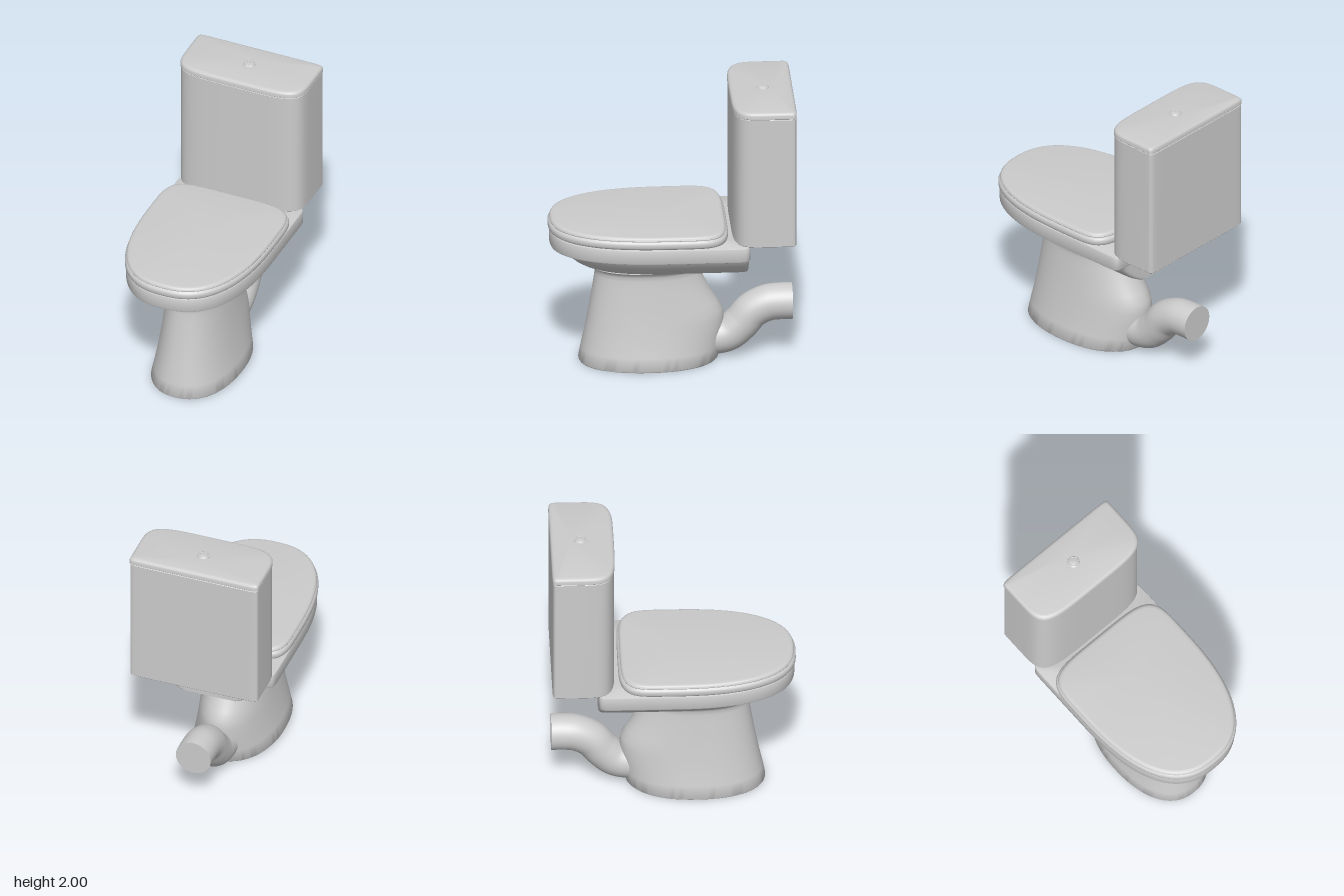
import * as THREE from 'three';
import { toCreasedNormals } from 'three/addons/utils/BufferGeometryUtils.js';

const material = new THREE.MeshStandardMaterial({ color: 0xcccccc });
const SEGMENTS = 96;

// Closed outline from two half superellipses that meet at z = mid.
function outline({ y, w, front, back, mid = 0, nf = 2.5, nb = 2.5 }) {
  const points = [];
  for (let i = 0; i < SEGMENTS; i++) {
    const t = (i / SEGMENTS) * Math.PI * 2;
    const c = Math.cos(t), s = Math.sin(t);
    const e = 2 / (s >= 0 ? nf : nb);
    const depth = s >= 0 ? front - mid : mid - back;
    points.push(
      w * Math.sign(c) * Math.abs(c) ** e, y,
      mid + depth * Math.sign(s) * Math.abs(s) ** e);
  }
  return points;
}

// Skin a stack of outlines from bottom to top and cap both ends.
function loft(rings, crease = 0.6) {
  const positions = rings.flatMap(outline);
  const index = [];
  const n = SEGMENTS, last = rings.length - 1;
  for (let r = 0; r < last; r++) {
    for (let i = 0; i < n; i++) {
      const j = (i + 1) % n, a = r * n, b = a + n;
      index.push(a + i, b + i, a + j, a + j, b + i, b + j);
    }
  }
  const bottom = positions.length / 3, top = bottom + 1;
  positions.push(0, rings[0].y, rings[0].mid ?? 0, 0, rings[last].y, rings[last].mid ?? 0);
  for (let i = 0; i < n; i++) {
    const j = (i + 1) % n;
    index.push(bottom, i, j, top, last * n + j, last * n + i);
  }
  const geometry = new THREE.BufferGeometry();
  geometry.setAttribute('position', new THREE.Float32BufferAttribute(positions, 3));
  geometry.setIndex(index);
  return toCreasedNormals(geometry, crease);
}

// Rings of one base outline, each moved in by an inset: [y, inset].
const insetRings = (base, profile) => profile.map(([y, d]) => ({
  ...base, y, w: base.w - d, front: base.front - d, back: base.back + d,
}));

function add(group, name, geometry) {
  const mesh = new THREE.Mesh(geometry, material);
  mesh.name = name;
  group.add(mesh);
  return mesh;
}

export function createModel() {
  const group = new THREE.Group();
  group.name = 'toilet';

  // Pedestal: waisted column, [y, half width, front z, back z]
  add(group, 'pedestal', loft([
    [0, 0.298, 0.625, -0.32], [0.01, 0.305, 0.631, -0.33], [0.1, 0.286, 0.615, -0.345],
    [0.2, 0.266, 0.593, -0.36], [0.3, 0.25, 0.574, -0.37], [0.36, 0.241, 0.563, -0.36],
    [0.42, 0.232, 0.553, -0.325], [0.5, 0.222, 0.54, -0.275], [0.58, 0.212, 0.528, -0.235],
    [0.64, 0.205, 0.52, -0.21], [0.67, 0.204, 0.518, -0.202], [0.69, 0.212, 0.528, -0.21],
    [0.705, 0.23, 0.55, -0.235],
  ].map(([y, w, front, back]) => ({ y, w, front, back, mid: 0.14, nf: 2.3, nb: 2.1 })), 0.9));

  // Bowl: curved underside that runs back as a shelf under the tank
  add(group, 'bowl', loft([
    [0.7, 0.215, 0.53], [0.715, 0.25, 0.57], [0.735, 0.285, 0.615], [0.765, 0.325, 0.665],
    [0.8, 0.36, 0.705], [0.84, 0.388, 0.738], [0.865, 0.402, 0.757], [0.88, 0.42, 0.775],
  ].map(([y, w, front]) => ({ y, w, front, back: -0.524, nf: 2.4, nb: 20 })), 0.7));

  // Rim: thick band with a squared back
  const rim = { w: 0.472, front: 0.832, back: -0.527, nf: 2.5, nb: 24 };
  add(group, 'rim', loft(insetRings(rim, [
    [0.874, 0.012], [0.878, 0.004], [0.887, 0], [0.975, 0], [0.982, 0.003], [0.985, 0.01],
  ])));

  // Seat and its cover
  const seat = { w: 0.479, front: 0.842, back: -0.385, nf: 2.5, nb: 5 };
  add(group, 'seat', loft(insetRings(seat, [
    [0.986, 0.016], [0.992, 0.006], [1.003, 0], [1.025, 0], [1.038, 0.005], [1.046, 0.016],
  ])));
  const cover = { ...seat, w: 0.47, front: 0.83, back: -0.37 };
  add(group, 'seatCover', loft(insetRings(cover, [
    [1.044, 0.012], [1.047, 0.002], [1.052, 0], [1.06, 0.002], [1.067, 0.007],
    [1.072, 0.015], [1.074, 0.03],
  ])));

  // Tank with bowed front, and its lid
  const tank = { w: 0.468, front: -0.412, back: -0.843, mid: -0.7, nf: 5, nb: 18 };
  add(group, 'tank', loft(insetRings(tank, [[0.986, 0.003], [0.99, 0], [1.932, 0], [1.936, 0.005]])));
  const lid = { ...tank, w: 0.472, front: -0.408, back: -0.845 };
  add(group, 'tankLid', loft(insetRings(lid, [
    [1.936, 0.005], [1.941, 0], [1.966, 0], [1.976, 0.004], [1.983, 0.012], [1.986, 0.026],
  ])));

  // Flush button
  const button = add(group, 'flushButton', toCreasedNormals(new THREE.LatheGeometry([
    [0.044, 0], [0.042, 0.006], [0.034, 0.011], [0.029, 0.009], [0.027, 0.011], [0.015, 0.014], [0, 0.015],
  ].map(([x, y]) => new THREE.Vector2(x, y)), 32), 0.5));
  button.position.set(0, 1.985, -0.638);

  // Outlet pipe with a closed end
  const path = new THREE.CatmullRomCurve3([
    [0.17, -0.15], [0.142, -0.28], [0.163, -0.4], [0.235, -0.487], [0.325, -0.565],
    [0.378, -0.67], [0.388, -0.76], [0.388, -0.84],
  ].map(([y, z]) => new THREE.Vector3(0, y, z)));
  add(group, 'outletPipe', new THREE.TubeGeometry(path, 64, 0.127, 40));
  const end = add(group, 'outletEnd', new THREE.CircleGeometry(0.127, 40));
  end.position.set(0, 0.388, -0.84);
  end.rotation.y = Math.PI;

  return group;
}
